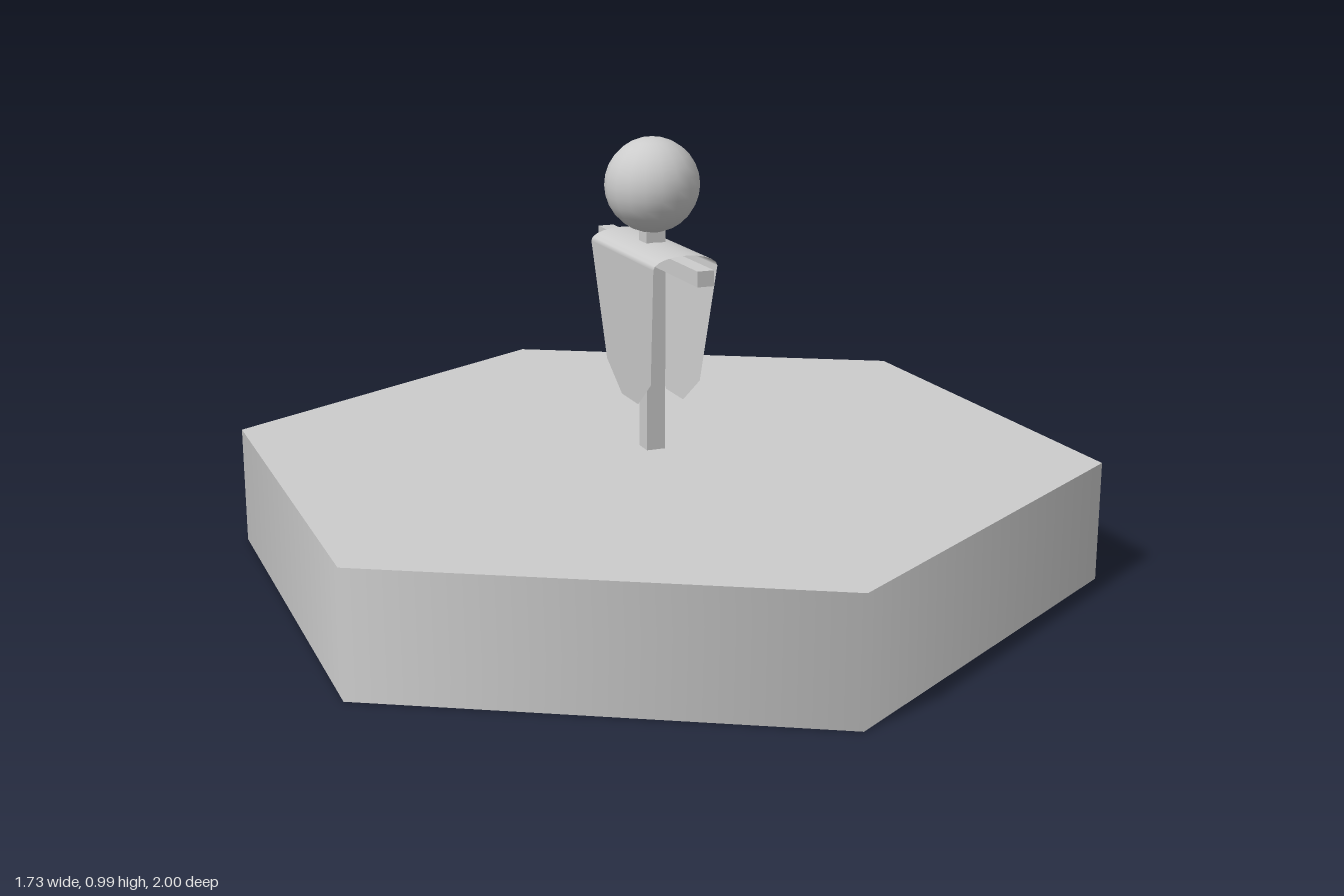
import * as THREE from 'three';

const grey = new THREE.MeshStandardMaterial({ color: 0xcccccc });
const cloth = new THREE.MeshStandardMaterial({ color: 0xcccccc, side: THREE.DoubleSide });

function add(parent, name, geometry, x, y, z, material = grey) {
  const mesh = new THREE.Mesh(geometry, material);
  mesh.name = name;
  mesh.position.set(x, y, z);
  parent.add(mesh);
  return mesh;
}

// Hanging cloth panel: outline drawn in (z, y), leaning inward towards the hem
function panelGeometry(side) {
  const outline = [[-0.19, 0.73], [-0.135, 0.46], [-0.05, 0.395], [0.05, 0.395], [0.135, 0.46], [0.19, 0.73]];
  const shape = new THREE.Shape(outline.map(([z, y]) => new THREE.Vector2(z, y)));
  const geometry = new THREE.ShapeGeometry(shape);
  const p = geometry.attributes.position;
  for (let i = 0; i < p.count; i++) {
    const z = p.getX(i), y = p.getY(i);
    const lean = 0.02 * (0.73 - y) / 0.335;
    p.setXYZ(i, side * (0.075 - lean), y, -side * z);
  }
  geometry.computeVertexNormals();
  return geometry;
}

export function createModel() {
  const model = new THREE.Group();
  model.name = 'scarecrowTile';

  // Hexagonal ground slab with corners on the z axis
  add(model, 'hexBase', new THREE.CylinderGeometry(1, 1, 0.275, 6), 0, 0.1375, 0);

  const figure = new THREE.Group();
  figure.name = 'scarecrow';
  figure.position.x = -0.017;
  model.add(figure);

  // Wooden cross
  add(figure, 'post', new THREE.BoxGeometry(0.045, 0.535, 0.045), 0, 0.5375, 0);
  add(figure, 'crossArm', new THREE.BoxGeometry(0.038, 0.034, 0.59), 0, 0.727, 0.003);

  // Round head
  add(figure, 'head', new THREE.SphereGeometry(0.107, 18, 14), 0, 0.884, 0);

  // Shirt: curved shoulders over the arm and a panel on each side
  const arch = new THREE.CylinderGeometry(1, 1, 0.38, 10, 1, true, Math.PI / 2, Math.PI);
  arch.rotateX(Math.PI / 2);
  arch.scale(0.075, 0.027, 1);
  add(figure, 'shirtShoulders', arch, 0, 0.73, 0, cloth);
  for (const side of [-1, 1]) {
    add(figure, side > 0 ? 'shirtLeftPanel' : 'shirtRightPanel', panelGeometry(side), 0, 0, 0, cloth);
  }

  return model;
}
